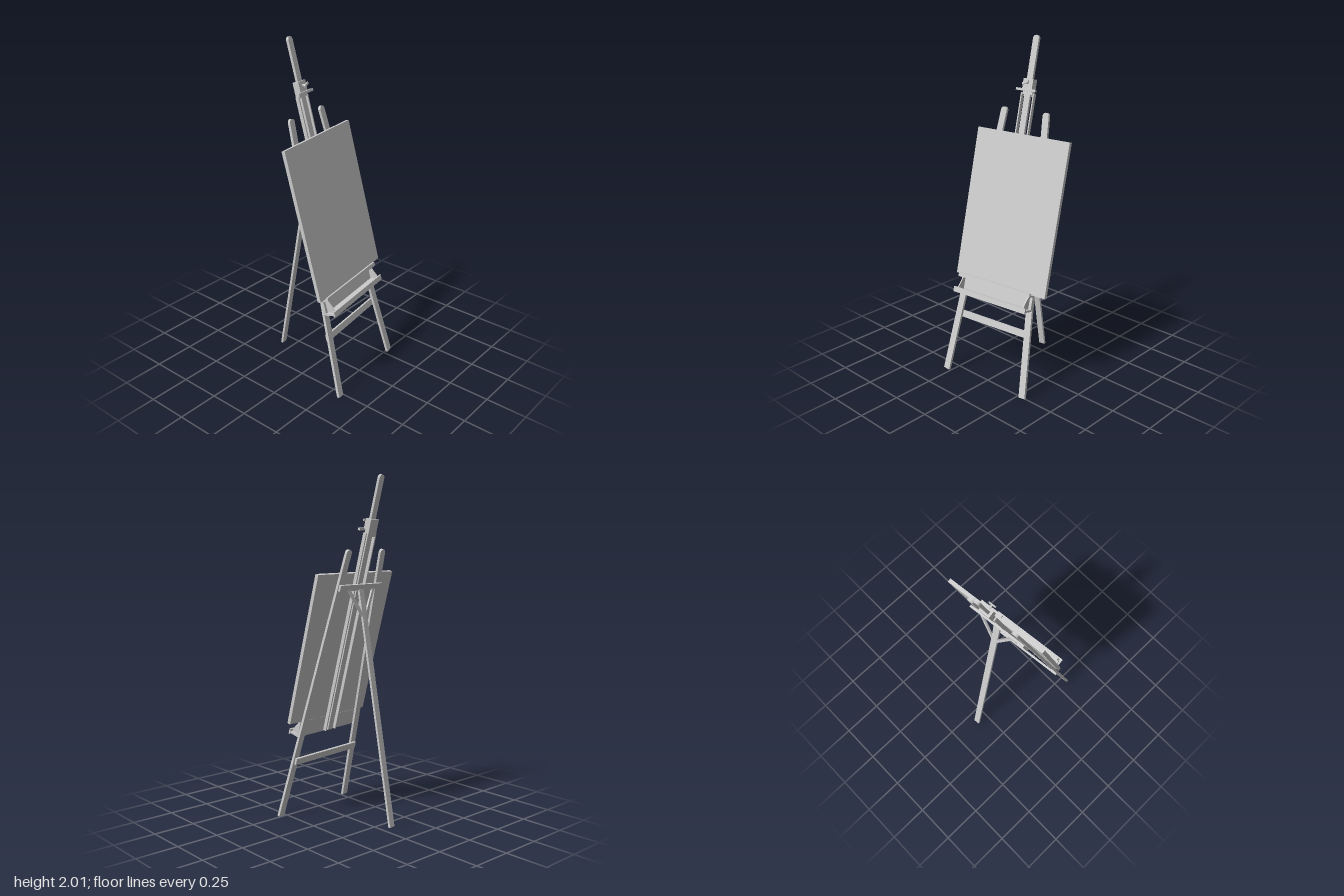
import * as THREE from 'three';

const mat = new THREE.MeshStandardMaterial({ color: 0xcccccc, flatShading: true });

function add(parent, name, geo) {
  const mesh = new THREE.Mesh(geo, mat);
  mesh.name = name;
  parent.add(mesh);
  return mesh;
}

// Box given by its limits: x = out of the easel plane, y = up the plane, z = sideways
function block(parent, name, [x0, x1], [y0, y1], [z0, z1]) {
  const mesh = add(parent, name, new THREE.BoxGeometry(x1 - x0, y1 - y0, z1 - z0));
  mesh.position.set((x0 + x1) / 2, (y0 + y1) / 2, (z0 + z1) / 2);
  return mesh;
}

// Flat slat standing on y = 0 with a rounded top
function slat(parent, name, width, height, depth) {
  const r = width / 2;
  const s = new THREE.Shape();
  s.moveTo(-r, 0);
  s.lineTo(r, 0);
  s.lineTo(r, height - r);
  s.absarc(0, height - r, r, 0, Math.PI, false);
  s.closePath();
  const geo = new THREE.ExtrudeGeometry(s, { depth, bevelEnabled: false, curveSegments: 10 });
  geo.translate(0, 0, -depth / 2);
  geo.rotateY(Math.PI / 2);
  return add(parent, name, geo);
}

// Straight batten between two points
function beam(parent, name, a, b, depth, width) {
  const p = new THREE.Vector3(...a), q = new THREE.Vector3(...b);
  const dir = q.clone().sub(p);
  const mesh = add(parent, name, new THREE.BoxGeometry(depth, dir.length(), width));
  mesh.position.copy(p).add(q).multiplyScalar(0.5);
  mesh.quaternion.setFromUnitVectors(new THREE.Vector3(0, 1, 0), dir.normalize());
  return mesh;
}

export function createModel() {
  const model = new THREE.Group();
  model.name = 'easel';
  const body = new THREE.Group();
  body.name = 'easelBody';
  body.rotation.y = 0.115;
  model.add(body);

  // Everything in front leans back in one tilted plane
  const lean = new THREE.Group();
  lean.name = 'leaningFrame';
  lean.position.set(0.29, 0.002, 0.028);
  lean.rotation.z = Math.atan(0.265);
  body.add(lean);

  // Splayed front legs, guide rails and tray brackets
  for (const s of [-1, 1]) {
    const leg = slat(lean, 'frontLeg', 0.042, 1.65, 0.016);
    leg.position.z = s * 0.287;
    leg.rotation.x = -s * 0.0856;

    block(lean, 'guideRail', [-0.014, 0.008], [0.52, 1.74], [s * 0.042 - 0.004, s * 0.042 + 0.004]);

    const tri = new THREE.Shape([[0.02, 0.525], [0.073, 0.525], [0.073, 0.535], [0.035, 0.6], [0.02, 0.6]]
      .map(p => new THREE.Vector2(...p)));
    const bracket = add(lean, 'trayBracket', new THREE.ExtrudeGeometry(tri, { depth: 0.008, bevelEnabled: false }));
    bracket.position.z = s * 0.24 - 0.004;
  }

  // Central mast
  slat(lean, 'mast', 0.04, 1.549, 0.016).position.y = 0.52;

  // Cross rails behind the legs
  block(lean, 'lowerCrossbar', [-0.022, -0.008], [0.345, 0.385], [-0.265, 0.265]);
  block(lean, 'upperCrossbar', [-0.026, -0.012], [1.41, 1.445], [-0.185, 0.185]);

  // Canvas
  block(lean, 'canvas', [0.009, 0.031], [0.612, 1.503], [-0.348, 0.298]);

  // Tray with ledge for the canvas
  block(lean, 'trayBack', [0.008, 0.02], [0.515, 0.602], [-0.262, 0.262]);
  block(lean, 'trayFloor', [0.008, 0.074], [0.513, 0.525], [-0.262, 0.262]);
  block(lean, 'trayLip', [0.072, 0.082], [0.507, 0.538], [-0.264, 0.264]);
  block(lean, 'canvasLedge', [0.008, 0.057], [0.6, 0.612], [-0.262, 0.262]);
  block(lean, 'ledgeLip', [0.045, 0.057], [0.612, 0.624], [-0.262, 0.262]);

  // Sliding clamp that holds the canvas from above
  block(lean, 'clampBack', [-0.02, -0.008], [1.72, 1.82], [-0.034, 0.034]);
  block(lean, 'clampFront', [0.008, 0.02], [1.76, 1.82], [-0.034, 0.034]);
  for (const s of [-1, 1]) {
    block(lean, 'clampCheek', [-0.008, 0.008], [1.73, 1.82], [s * 0.027 - 0.007, s * 0.027 + 0.007]);
  }
  block(lean, 'clampBar', [0.018, 0.034], [1.748, 1.762], [-0.067, 0.067]);
  const screw = add(lean, 'clampScrew', new THREE.CylinderGeometry(0.006, 0.006, 0.03, 10));
  screw.rotation.z = Math.PI / 2;
  screw.position.set(0.033, 1.795, 0);
  const wing = block(lean, 'clampWing', [0.04, 0.048], [1.789, 1.801], [-0.022, 0.022]);
  wing.rotation.x = 0.4;

  // Hinged back leg with its forked stay
  beam(body, 'backLeg', [-0.329, 0.002, 0.028], [-0.087, 1.39, 0.028], 0.014, 0.04);
  for (const s of [-1, 1]) {
    beam(body, 'backLegStay', [-0.118, 1.21, 0.028 + s * 0.012], [-0.092, 1.37, 0.028 + s * 0.11], 0.012, 0.016);
  }
  return model;
}
